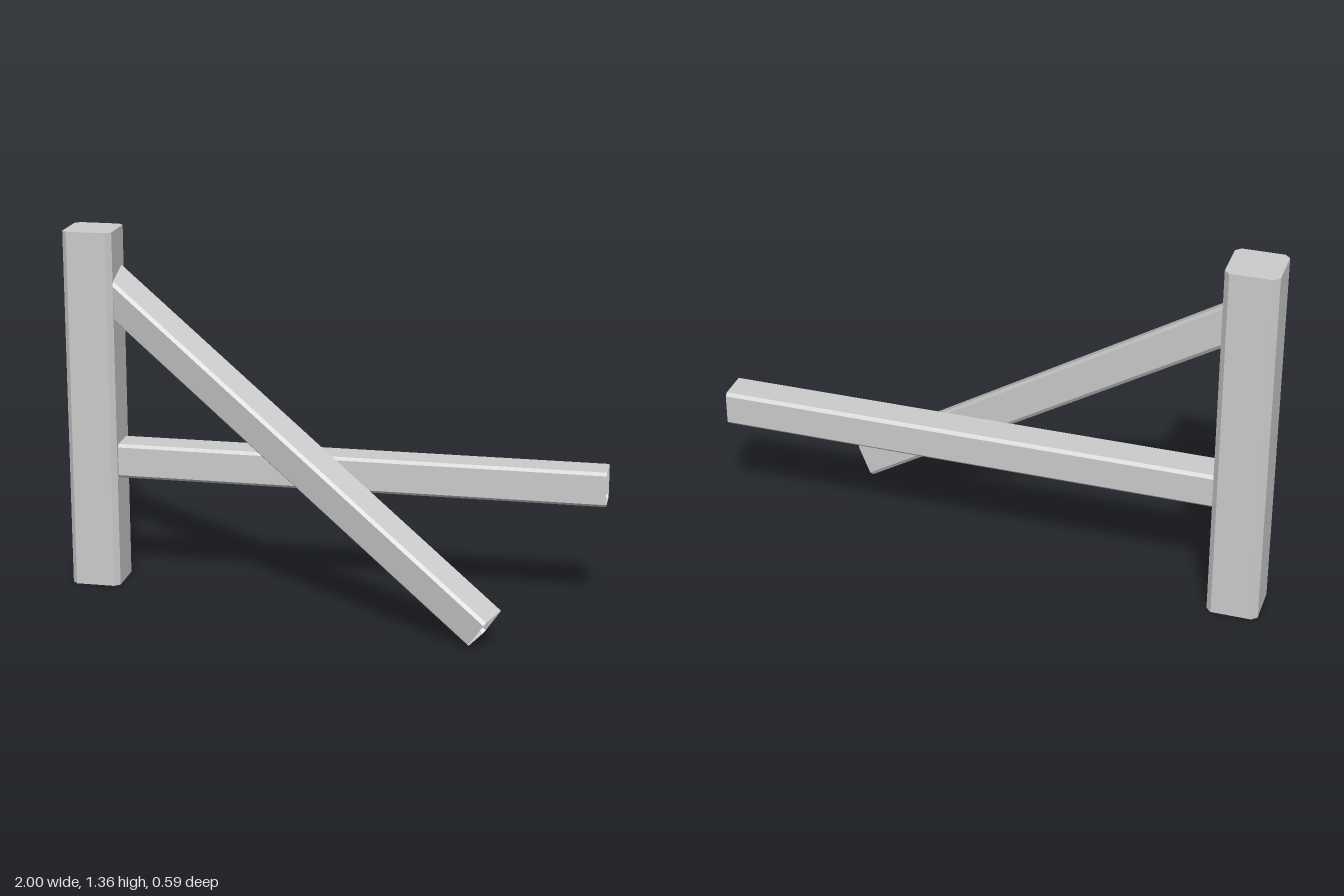
import * as THREE from 'three';

const V = (x, y, z) => new THREE.Vector3(x, y, z);
const POST_FACE = -0.815;

// Square hollow section with chamfered corners, counter-clockwise
function section(size, chamfer) {
  const h = size / 2, k = h - chamfer;
  return [[h, -k], [h, k], [k, h], [-k, h], [-h, k], [-h, -k], [-k, -h], [k, -h]];
}

// Open tube from start to end; `u` is the section's first axis.
// cutX mitres the start to a plane of constant x, cap closes the far end.
function beam(name, start, end, u, size, chamfer, { cutX = null, cap = false } = {}) {
  const d = end.clone().sub(start).normalize();
  const v = d.clone().cross(u);
  const ring = (centre) => section(size, chamfer).map(([a, b]) =>
    centre.clone().addScaledVector(u, a).addScaledVector(v, b));
  const near = ring(start), far = ring(end);
  if (cutX !== null) near.forEach((p) => p.addScaledVector(d, (cutX - p.x) / d.x));

  const pts = [];
  near.forEach((p, i) => {
    const j = (i + 1) % near.length;
    pts.push(p, near[j], far[j], p, far[j], far[i]);
    if (cap) pts.push(end, far[i], far[j]);
  });
  const geometry = new THREE.BufferGeometry().setFromPoints(pts);
  geometry.computeVertexNormals();
  const mesh = new THREE.Mesh(geometry, new THREE.MeshStandardMaterial({
    color: 0xcccccc, flatShading: true, side: THREE.DoubleSide,
  }));
  mesh.name = name;
  return mesh;
}

export function createModel() {
  const model = new THREE.Group();
  model.name = 'bracedPost';

  // Upright post, closed on top and open below
  model.add(beam('post', V(-0.9075, 0, -0.2025), V(-0.9075, 1.355, -0.2025),
    V(0, 0, 1), 0.185, 0.019, { cap: true }));

  // Horizontal rail
  model.add(beam('rail', V(POST_FACE, 0.485, -0.205), V(1, 0.485, -0.205),
    V(0, 1, 0), 0.13, 0.011));

  // Diagonal brace, slightly rolled about its own axis and mitred to the post
  const top = V(POST_FACE, 1.115, -0.2), foot = V(0.617, 0.066, 0.217);
  const dir = foot.clone().sub(top).normalize();
  const side = V(-dir.z, 0, dir.x).normalize();
  const up = side.cross(dir).applyAxisAngle(dir, 0.13);
  model.add(beam('brace', top, foot, up, 0.13, 0.011, { cutX: POST_FACE }));

  return model;
}
